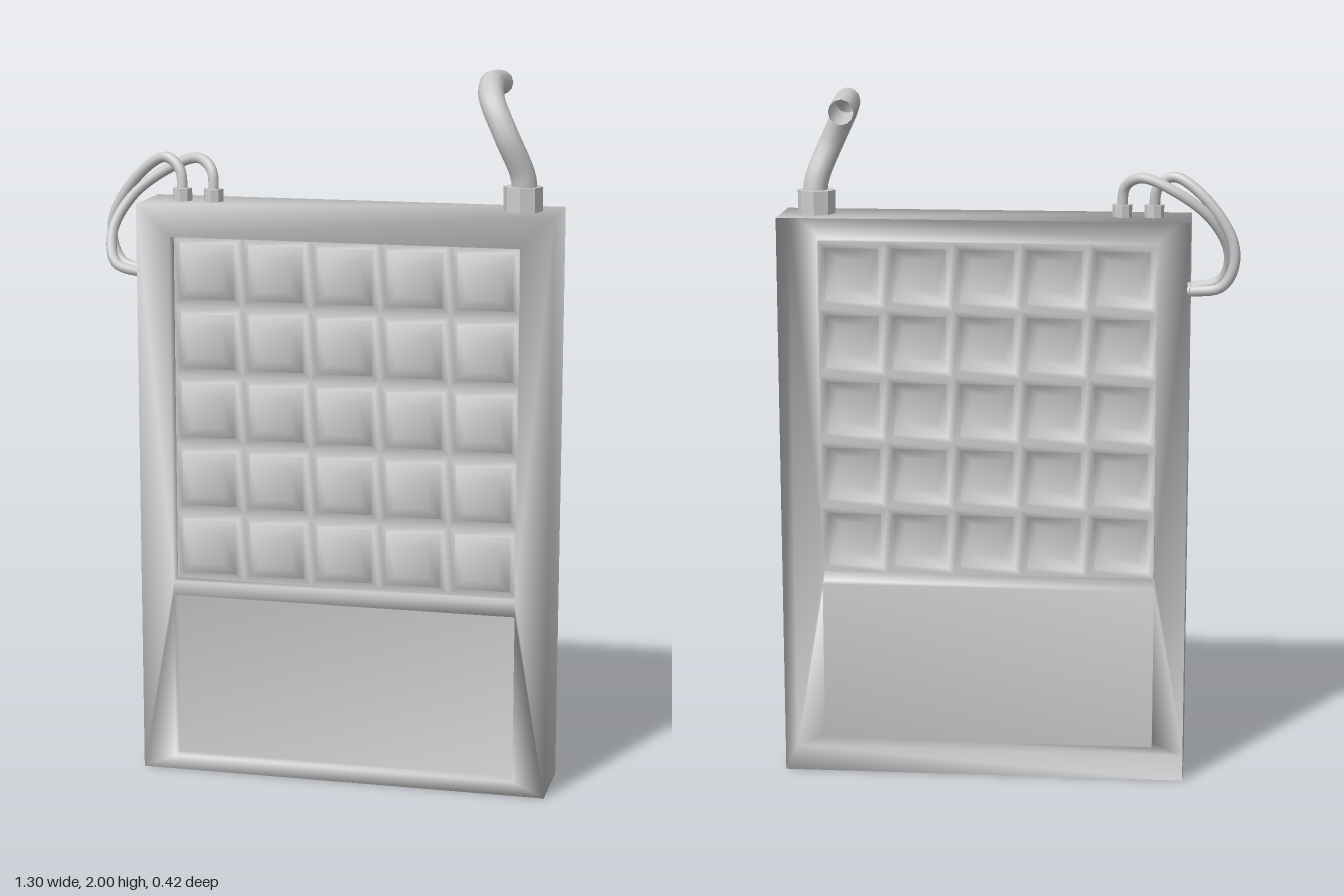
import * as THREE from 'three';
import { mergeVertices } from 'three/addons/utils/BufferGeometryUtils.js';

const mat = new THREE.MeshStandardMaterial({ color: 0xcccccc, side: THREE.DoubleSide });

// Body extents, recess depth and the two front openings [x0, x1, y0, y1]
const L = -0.515, R = 0.65, H = 1.635, FRONT = 0.21, DEEP = 0.168;
const UPPER = [-0.42, 0.56, 0.56, 1.545];
const LOWER = [-0.42, 0.56, 0.04, 0.52];

// Rectangle corners, anticlockwise from bottom left as seen from the front
const ring = ([x0, x1, y0, y1], z) => [[x0, y0, z], [x1, y0, z], [x1, y1, z], [x0, y1, z]];

// Collects polygons and welds them into one smooth surface
class Surface {
  constructor() { this.p = []; }
  poly(...c) {
    for (let i = 1; i < c.length - 1; i++) this.p.push(...c[0], ...c[i], ...c[i + 1]);
  }
  // Joins an outer ring to the next ring inside it
  band(a, b) {
    for (let i = 0; i < 4; i++) {
      const j = (i + 1) % 4;
      this.poly(a[i], a[j], b[j], b[i]);
    }
  }
  mesh(name) {
    let g = new THREE.BufferGeometry();
    g.setAttribute('position', new THREE.Float32BufferAttribute(this.p, 3));
    g = mergeVertices(g, 1e-4);
    g.computeVertexNormals();
    const m = new THREE.Mesh(g, mat);
    m.name = name;
    return m;
  }
}

// Hollow casing, open at the back, with a framed front
function casing() {
  const s = new Surface();
  const back = ring([L, R, 0, H], 0), f = ring([L, R, 0, H], FRONT);
  const u = ring(UPPER, FRONT), l = ring(LOWER, FRONT);
  s.band(back, f);
  s.poly(f[0], f[1], l[1], l[0]);
  s.poly(l[3], l[2], u[1], u[0]);
  s.poly(u[3], u[2], f[2], f[3]);
  // side stiles
  s.poly(f[0], l[0], l[3]);
  s.poly(f[0], l[3], u[0], f[3]);
  s.poly(f[3], u[0], u[3]);
  s.poly(f[1], l[2], l[1]);
  s.poly(f[1], f[2], u[1], l[2]);
  s.poly(f[2], u[2], u[1]);
  // opening walls and the plain lower panel
  s.band(u, ring(UPPER, DEEP));
  const floor = ring(LOWER, DEEP);
  s.band(l, floor);
  s.poly(...floor);
  return s.mesh('casing');
}

// 5 x 5 panel of raised, bevelled pads
function padPanel() {
  const s = new Surface(), n = 5;
  const w = (UPPER[1] - UPPER[0]) / n, h = (UPPER[3] - UPPER[2]) / n;
  for (let i = 0; i < n; i++) {
    for (let j = 0; j < n; j++) {
      const cx = UPPER[0] + (i + 0.5) * w, cy = UPPER[2] + (j + 0.5) * h;
      const sq = (a, b, z) => ring([cx - a, cx + a, cy - b, cy + b], z);
      const rings = [sq(w / 2, h / 2, DEEP), sq(0.08, 0.08, DEEP),
        sq(0.076, 0.076, 0.18), sq(0.046, 0.046, 0.194)];
      for (let k = 0; k < 3; k++) s.band(rings[k], rings[k + 1]);
      s.poly(...rings[3]);
    }
  }
  return s.mesh('padPanel');
}

function cable(name, radius, points, sides) {
  const curve = new THREE.CatmullRomCurve3(points.map(p => new THREE.Vector3(...p)));
  const m = new THREE.Mesh(new THREE.TubeGeometry(curve, 48, radius, sides), mat);
  m.name = name;
  return m;
}

function socket(name, x, radius, height) {
  const g = new THREE.CylinderGeometry(radius, radius, height, 8).toNonIndexed();
  g.computeVertexNormals();
  const m = new THREE.Mesh(g, mat);
  m.position.set(x, H + height / 2 - 0.001, 0.11);
  m.name = name;
  return m;
}

export function createModel() {
  const model = new THREE.Group();
  model.name = 'wallPanel';
  model.add(casing(), padPanel());

  // Thick conduit bending away to the rear
  model.add(socket('conduitSocket', 0.55, 0.054, 0.068));
  model.add(cable('conduit', 0.035, [
    [0.555, 1.66, 0.11], [0.55, 1.73, 0.118], [0.507, 1.84, 0.143], [0.463, 1.928, 0.112],
    [0.445, 1.963, 0.03], [0.437, 1.964, -0.06], [0.43, 1.953, -0.205]], 12));

  // Two thin cables looping round into the right side
  model.add(socket('outerCableSocket', -0.41, 0.028, 0.036));
  model.add(socket('innerCableSocket', -0.32, 0.028, 0.036));
  model.add(cable('outerCable', 0.015, [
    [-0.41, 1.65, 0.11], [-0.42, 1.72, 0.1], [-0.465, 1.752, 0.085], [-0.55, 1.7, 0.06],
    [-0.632, 1.58, 0.045], [-0.635, 1.5, 0.045], [-0.6, 1.445, 0.055], [-0.51, 1.43, 0.07]], 10));
  model.add(cable('innerCable', 0.015, [
    [-0.32, 1.65, 0.11], [-0.328, 1.72, 0.1], [-0.375, 1.75, 0.07], [-0.47, 1.715, 0.047],
    [-0.57, 1.64, 0.055], [-0.622, 1.54, 0.09], [-0.6, 1.455, 0.133], [-0.51, 1.43, 0.14]], 10));
  return model;
}
